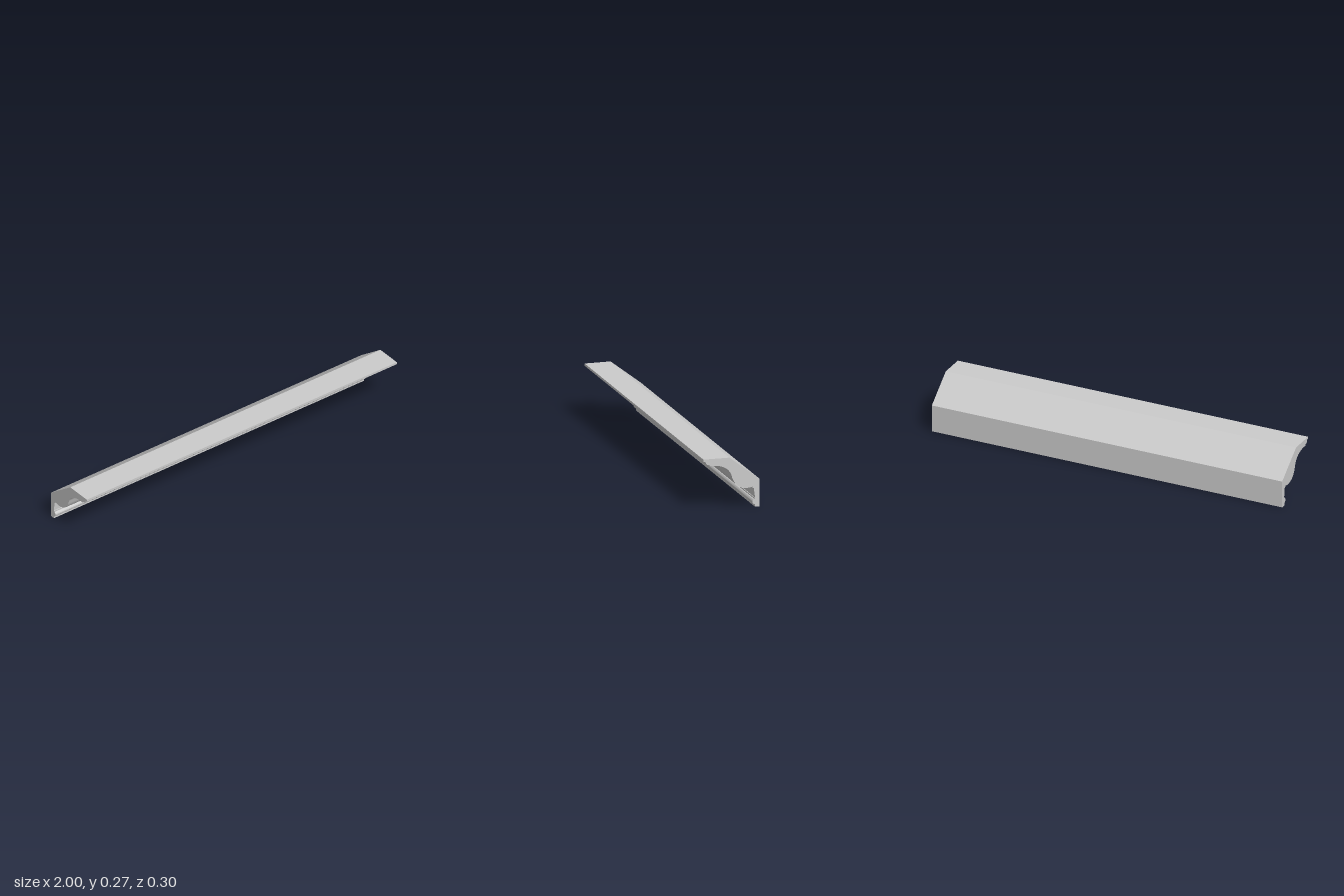
import * as THREE from 'three';
import { toCreasedNormals } from 'three/addons/utils/BufferGeometryUtils.js';

const LENGTH = 2;

// Cross-section of the moulding, drawn as (z, y)
function mouldingProfile() {
  const s = new THREE.Shape();
  // Top edge and front fillet
  s.moveTo(0.011, 0.271);
  s.lineTo(0.15, 0.271);
  s.lineTo(0.15, 0.259);
  s.lineTo(0.139, 0.259);
  // Small quarter round and step
  s.bezierCurveTo(0.139, 0.248, 0.134, 0.241, 0.124, 0.241);
  s.lineTo(0.117, 0.241);
  s.lineTo(0.117, 0.234);
  // Large S curve: cove flowing into a round belly
  s.lineTo(0.094, 0.234);
  s.bezierCurveTo(0.045, 0.232, 0.008, 0.21, -0.002, 0.17);
  s.bezierCurveTo(-0.014, 0.127, -0.042, 0.103, -0.082, 0.103);
  s.quadraticCurveTo(-0.098, 0.103, -0.113, 0.107);
  // Step and sloping lower face
  s.lineTo(-0.113, 0.1);
  s.lineTo(-0.12, 0.1);
  s.lineTo(-0.127, 0.048);
  s.lineTo(-0.123, 0.048);
  s.lineTo(-0.123, 0.041);
  // Bead
  s.bezierCurveTo(-0.109, 0.037, -0.109, 0.015, -0.126, 0.013);
  // Foot, wall face and slanted back
  s.lineTo(-0.126, 0);
  s.lineTo(-0.15, 0);
  s.lineTo(-0.15, 0.147);
  s.closePath();
  return s;
}

export function createModel() {
  const group = new THREE.Group();
  group.name = 'crownMoulding';

  let geometry = new THREE.ExtrudeGeometry(mouldingProfile(), {
    depth: LENGTH, bevelEnabled: false, curveSegments: 16,
  });
  // Turn the extrusion to run along x with the profile facing +z
  geometry.rotateY(-Math.PI / 2);
  geometry.translate(LENGTH / 2, 0, 0);
  geometry = toCreasedNormals(geometry, 0.5);

  const moulding = new THREE.Mesh(geometry, new THREE.MeshStandardMaterial({ color: 0xcccccc }));
  moulding.name = 'moulding';
  group.add(moulding);
  return group;
}
